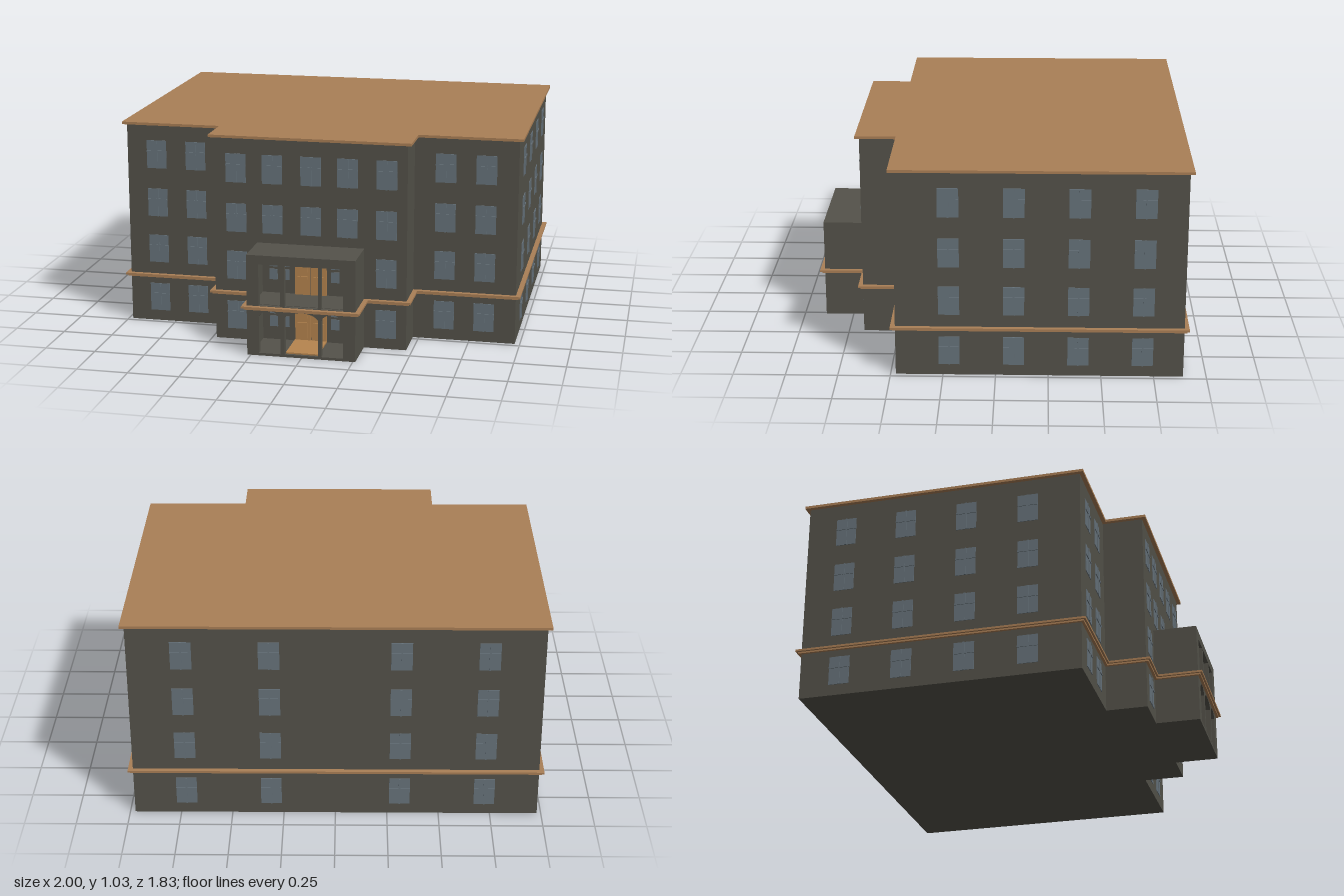
import * as THREE from 'three';

const mat = (name, color) => new THREE.MeshStandardMaterial({ name, color });

export function createModel() {
  const wall = mat('wall stone', 0x54524a);
  const trim = mat('roof and trim', 0xaa7f56);
  const glass = mat('window glass', 0x67737b);
  const wood = mat('door wood', 0xb6854f);
  const model = new THREE.Group();
  model.name = 'building';

  const add = (parent, name, geometry, material) => {
    const mesh = new THREE.Mesh(geometry, material);
    mesh.name = name;
    parent.add(mesh);
    return mesh;
  };
  // Box given by its limits on each axis
  const box = (parent, name, material, x0, x1, y0, y1, z0, z1) => {
    const mesh = add(parent, name, new THREE.BoxGeometry(x1 - x0, y1 - y0, z1 - z0), material);
    mesh.position.set((x0 + x1) / 2, (y0 + y1) / 2, (z0 + z1) / 2);
    return mesh;
  };
  // Floor outline of [x, z] points raised from y0 to y1
  const slab = (name, material, outline, y0, y1) => {
    const shape = new THREE.Shape(outline.map(([x, z]) => new THREE.Vector2(x, -z)));
    const geometry = new THREE.ExtrudeGeometry(shape, { depth: y1 - y0, bevelEnabled: false });
    geometry.rotateX(-Math.PI / 2);
    geometry.translate(0, y0, 0);
    add(model, name, geometry, material);
  };

  // Main block with projecting centre, grown outwards by g
  const L = -0.98, R = 0.975, back = -0.89, front = 0.475, centre = 0.675;
  const plan = (g, withPorch) => {
    const p = [[L - g, back - g], [L - g, front + g], [-0.48 - g, front + g], [-0.48 - g, centre + g]];
    if (withPorch) {
      p.push([-0.267 - g, centre + g], [-0.267 - g, 0.89 + g], [0.262 + g, 0.89 + g], [0.262 + g, centre + g]);
    }
    p.push([0.47 + g, centre + g], [0.47 + g, front + g], [R + g, front + g], [R + g, back - g]);
    return p;
  };
  slab('mainWalls', wall, plan(0, false), 0, 1.017);
  slab('roof', trim, plan(0.02, false), 1.017, 1.03);
  slab('bandLower', trim, plan(0.013, true), 0.23, 0.238);
  slab('bandUpper', trim, plan(0.023, true), 0.238, 0.248);

  // Porch shell: sides, roof and two floors
  const porch = new THREE.Group();
  porch.name = 'porch';
  model.add(porch);
  box(porch, 'porchLeftWall', wall, 0.237, 0.262, 0, 0.5, centre, 0.89);
  box(porch, 'porchRightWall', wall, -0.267, -0.242, 0, 0.5, centre, 0.89);
  box(porch, 'porchRoof', wall, -0.267, 0.262, 0.47, 0.5, centre, 0.89);
  box(porch, 'porchFloor', wall, -0.267, 0.262, 0, 0.012, centre, 0.89);
  box(porch, 'balconyFloor', wall, -0.245, 0.24, 0.248, 0.252, centre, 0.87);
  box(porch, 'doorStep', wood, -0.08, 0.078, 0.012, 0.02, centre, 0.875);

  // Porch front: arched openings below, square ones above
  const face = new THREE.Shape();
  face.moveTo(-0.267, 0);
  face.lineTo(0.262, 0);
  face.lineTo(0.262, 0.5);
  face.lineTo(-0.267, 0.5);
  face.closePath();
  for (const [x, w] of [[-0.155, 0.053], [0, 0.082], [0.15, 0.053]]) {
    const arch = new THREE.Path();
    arch.moveTo(x - w, 0.013);
    arch.lineTo(x + w, 0.013);
    arch.lineTo(x + w, 0.195);
    arch.quadraticCurveTo(x + w * 0.7, 0.225, x, 0.226);
    arch.quadraticCurveTo(x - w * 0.7, 0.225, x - w, 0.195);
    arch.closePath();
    const square = new THREE.Path();
    square.moveTo(x - w, 0.25);
    square.lineTo(x + w, 0.25);
    square.lineTo(x + w, 0.455);
    square.lineTo(x - w, 0.455);
    square.closePath();
    face.holes.push(arch, square);
  }
  const faceGeometry = new THREE.ExtrudeGeometry(face, { depth: 0.025, bevelEnabled: false });
  faceGeometry.translate(0, 0, 0.865);
  add(porch, 'porchFront', faceGeometry, wall);

  // Double doors with raised panels, one on each porch level
  for (const y of [0.015, 0.25]) {
    const door = new THREE.Group();
    door.name = 'doubleDoor';
    door.position.set(0, y, centre);
    model.add(door);
    for (const s of [-1, 1]) {
      const leaf = box(door, 'doorLeaf', wood, -0.038, 0.038, 0, 0.185, 0, 0.01);
      leaf.position.x = s * 0.04;
      for (const [y0, y1] of [[0.015, 0.095], [0.118, 0.168]]) {
        const panel = box(door, 'doorPanel', wood, -0.025, 0.025, y0, y1, 0.01, 0.017);
        panel.position.x = s * 0.04;
      }
    }
  }

  // Four-pane windows beside the doors
  for (const x of [-0.157, 0.15]) {
    for (const y of [0.08, 0.32]) {
      for (const s of [-1, 1]) {
        const px = x + s * 0.029;
        box(model, 'porchPane', glass, px - 0.02, px + 0.02, y, y + 0.052, centre, centre + 0.006);
        box(model, 'porchPane', glass, px - 0.02, px + 0.02, y + 0.066, y + 0.11, centre, centre + 0.006);
      }
    }
  }

  // Flat window with slim glazing bars, turned to face its wall
  const rows = [0.125, 0.38, 0.62, 0.867];
  const windowAt = (x, y, z, turn) => {
    const g = new THREE.Group();
    g.name = 'window';
    g.position.set(x, y, z);
    g.rotation.y = turn;
    model.add(g);
    box(g, 'windowGlass', glass, -0.05, 0.05, -0.071, 0.071, 0, 0.003);
    box(g, 'windowUpright', glass, -0.004, 0.004, -0.071, 0.071, 0.003, 0.007);
    box(g, 'windowCrossbar', glass, -0.05, 0.05, 0.012, 0.02, 0.003, 0.007);
  };
  rows.forEach((y, i) => {
    for (const x of [-0.83, -0.63, 0.623, 0.82]) windowAt(x, y, front, 0);
    const middle = i < 2 ? [-0.37, 0.37] : [-0.37, -0.19, 0, 0.18, 0.37];
    for (const x of middle) windowAt(x, y, centre, 0);
    for (const x of [-0.72, -0.31, 0.31, 0.72]) windowAt(x, y, back, Math.PI);
    for (const z of [0.22, -0.085, -0.39, -0.695]) {
      windowAt(R, y, z, Math.PI / 2);
      windowAt(L, y, z, -Math.PI / 2);
    }
  });

  return model;
}
